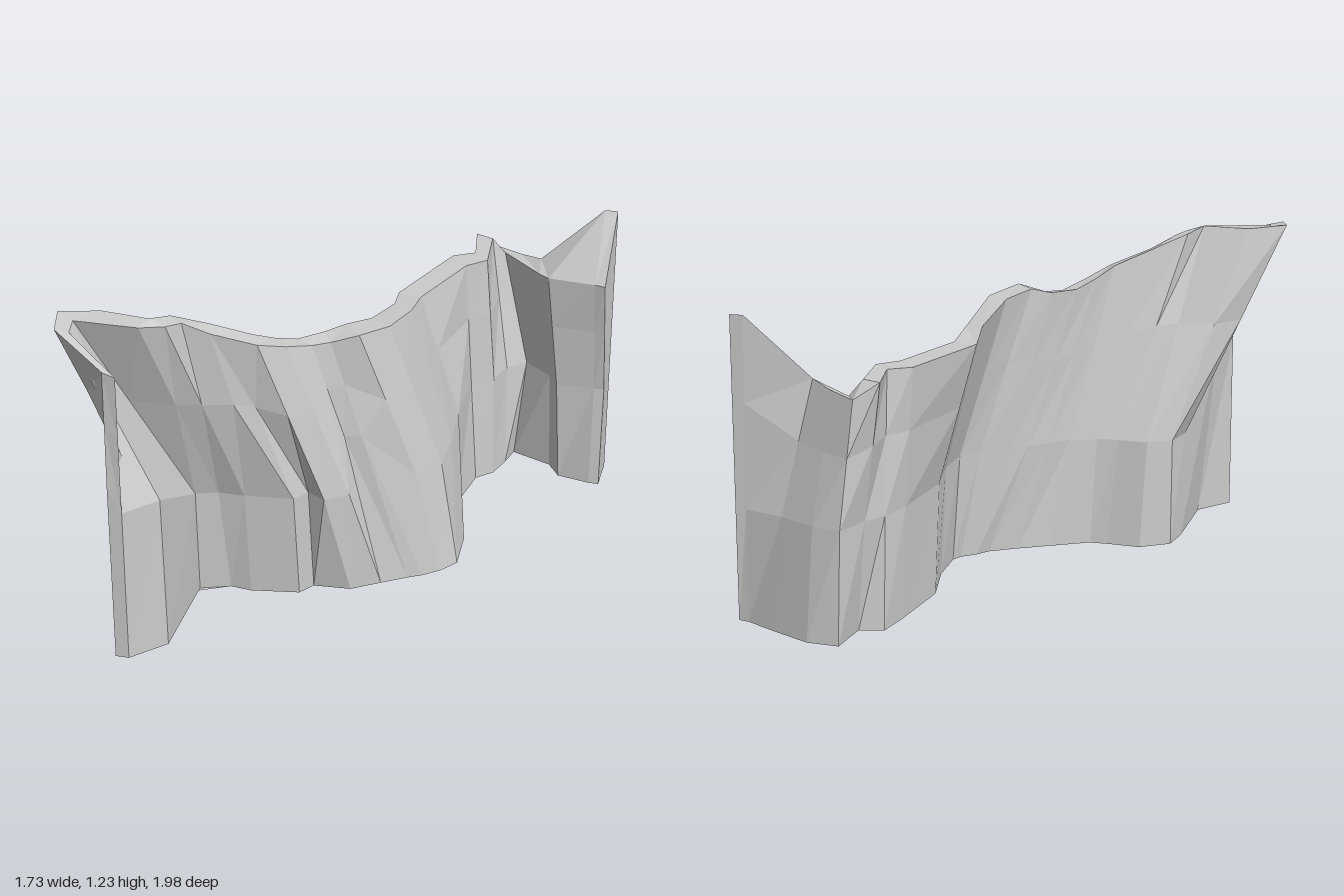
import * as THREE from 'three';

const LEDGE = 0.42; // usual height of the middle contour

// Each station is one upright slice of the wall:
// front x,z at bottom, ledge, top; back x,z at bottom, ledge, top;
// front and back top heights; front and back ledge heights where they differ
const leftBluff = [
  [-.58, 1, -.58, 1, -.58, 1, -.63, 1, -.63, 1, -.63, .99, 1.13, 1.14, .6, .7],
  [-.47, .88, -.48, .88, -.79, .86, -.52, .87, -.59, .88, -.84, .87, 1.21, 1.22, .6, .72],
  [-.47, .49, -.47, .51, -.8, .79, -.51, .53, -.52, .54, -.87, .75, 1.22, 1.23],
  [-.36, .45, -.39, .48, -.57, .77, -.49, .41, -.49, .42, -.73, .69, 1.21, 1.22],
  [-.28, .46, -.29, .48, -.49, .72, -.38, .34, -.4, .37, -.55, .71, 1.2, 1.22],
  [-.1, .43, -.11, .46, -.45, .66, -.25, .35, -.28, .38, -.5, .63, 1.19, 1.2],
  [-.06, .37, -.07, .4, -.36, .62, -.18, .35, -.2, .37, -.38, .56, 1.14, 1.15],
];
const middleFace = [
  leftBluff[6],
  [.08, .36, 0, .44, -.21, .55, -.03, .27, -.1, .33, -.24, .49, 1.08, 1.09],
  [.18, .29, .08, .38, -.13, .46, .08, .21, -.03, .27, -.18, .42, 1.04, 1.05],
  [.27, .23, .05, .33, -.06, .37, .18, .15, .04, .22, -.12, .35, 1.01, 1.02, .63],
  [.32, .2, .11, .31, 0, .33, .22, .1, .1, .18, -.04, .27, 1.01, 1.02, .63],
  [.38, .15, .29, .18, .1, .31, .27, .06, .2, .1, .03, .23, 1.04, 1.04],
  [.43, .08, .36, .07, .18, .17, .29, .02, .26, .02, .1, .12, 1.02, 1.02],
  [.42, -.1, .36, -.11, .2, -.1, .29, -.15, .27, -.14, .13, -.12, .96, .97],
  [.34, -.38, .34, -.34, .2, -.26, .25, -.37, .24, -.34, .11, -.28, .94, .94],
];
const rightReturn = [
  middleFace[8],
  [.37, -.58, .34, -.59, .31, -.58, .29, -.64, .28, -.64, .24, -.66, .94, .94],
  [.43, -.64, .42, -.65, .38, -.65, .32, -.79, .32, -.76, .32, -.71, .94, .94],
  [.46, -.74, .45, -.77, .36, -.86, .41, -.81, .37, -.84, .29, -.89, .94, .94],
  [.48, -.83, .52, -.83, .41, -.87, .43, -.98, .42, -.97, .38, -.92, .88, .88],
  [.64, -.76, .63, -.74, .58, -.7, .55, -.97, .53, -.94, .48, -.85, .88, .89],
  [.69, -.68, .67, -.67, .62, -.67, .7, -.89, .67, -.86, .57, -.78, .88, .91],
  [.82, -.65, .82, -.67, .81, -.63, .82, -.82, .82, -.81, .81, -.81, .89, 1.13],
  [.86, -.65, .86, -.67, .85, -.62, .86, -.81, .86, -.81, .86, -.81, .89, 1.13],
];

// Closed outline of a slice: up the front, then down the back
function ring(s) {
  const side = (o, h, ledge = LEDGE) => {
    const low = new THREE.Vector3(s[o], 0, s[o + 1]);
    const mid = new THREE.Vector3(s[o + 2], ledge, s[o + 3]);
    const top = new THREE.Vector3(s[o + 4], h, s[o + 5]);
    return [low, mid, mid.clone().lerp(top, 0.55), top];
  };
  return [...side(0, s[12], s[14]), ...side(6, s[13], s[15]).reverse()];
}

// Skins neighbouring slices, with optional flat ends
function wallSection(name, stations, material, capStart, capEnd) {
  const rings = stations.map(ring);
  const points = [];
  const quad = (a, b, c, d) => points.push(a, b, c, a, c, d);
  for (let i = 0; i < rings.length - 1; i++) {
    const p = rings[i], q = rings[i + 1];
    for (let j = 0; j < 8; j++) {
      const k = (j + 1) % 8;
      quad(p[j], q[j], q[k], p[k]);
    }
  }
  const a = rings[0], b = rings[rings.length - 1];
  for (let j = 0; j < 3; j++) {
    if (capStart) quad(a[j], a[j + 1], a[6 - j], a[7 - j]);
    if (capEnd) quad(b[7 - j], b[6 - j], b[j + 1], b[j]);
  }
  const geometry = new THREE.BufferGeometry().setFromPoints(points);
  geometry.computeVertexNormals();
  const mesh = new THREE.Mesh(geometry, material);
  mesh.name = name;
  return mesh;
}

export function createModel() {
  const group = new THREE.Group();
  group.name = 'cliffWall';
  const rock = new THREE.MeshStandardMaterial({
    color: 0xcccccc, flatShading: true, side: THREE.DoubleSide,
  });
  group.add(
    wallSection('leaningBluff', leftBluff, rock, true, false),
    wallSection('ridgedFace', middleFace, rock, false, false),
    wallSection('returnWall', rightReturn, rock, false, true),
  );
  return group;
}
